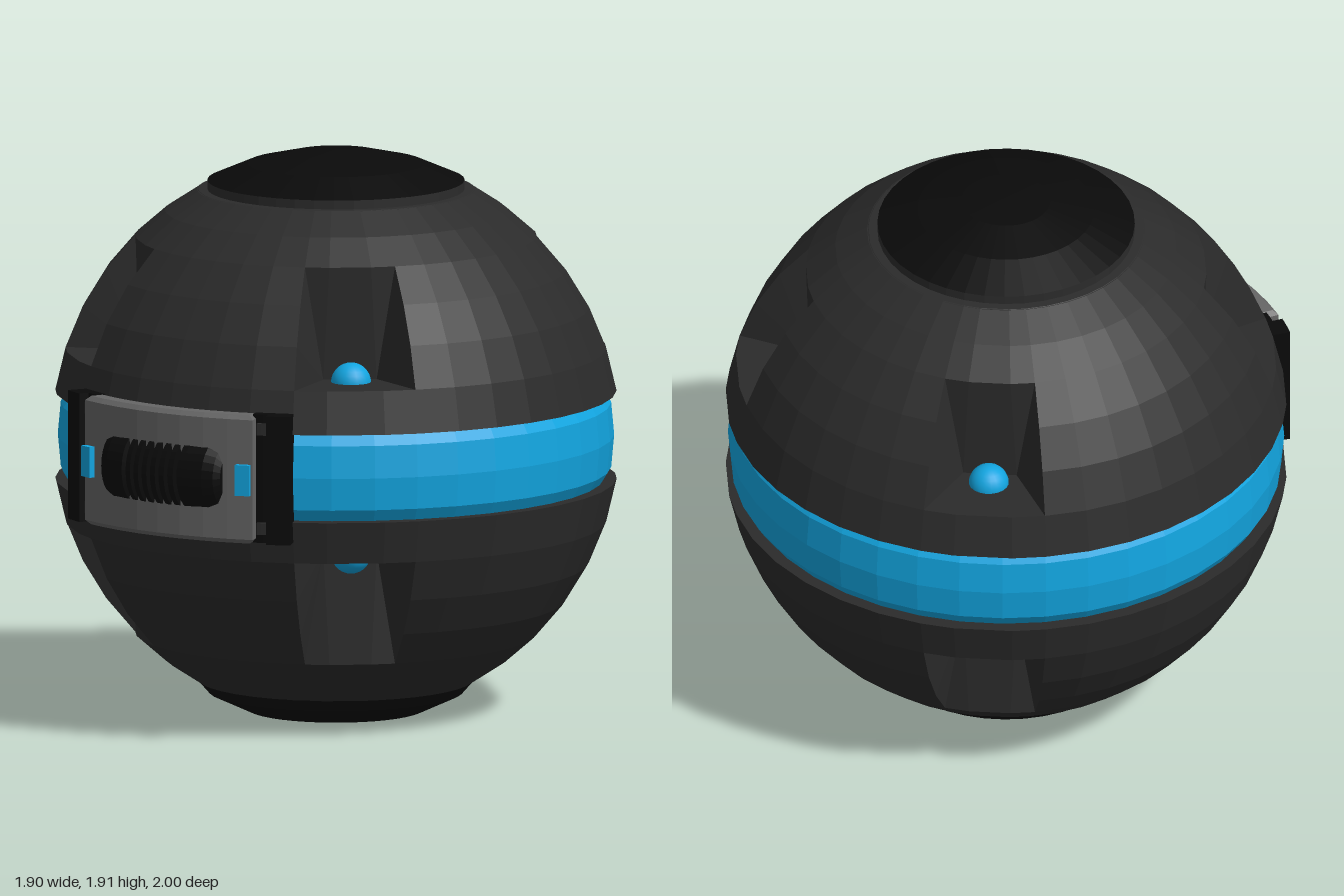
import * as THREE from 'three';

const mat = (color, flatShading = true) => new THREE.MeshStandardMaterial({ color, flatShading });
const SHELL = mat(0x2b2b2b), BLACK = mat(0x0a0a0a), BLUE = mat(0x12a5e0), GREY = mat(0x666666);
const BALL = mat(0x12a5e0, false);
const R = 0.96, MID = 0.94, RAD = Math.PI / 180;
const POCKETS = [41, 139, 221, 319];

// Column angles: the pocket borders fall on grid lines
const quarter = [0, 9.33, 18.67, 28, 35, 47, 54, 63, 72, 81];
const half = [...quarter, 90, ...quarter.slice(1).reverse().map(a => 180 - a)];
const COLS = [...half, ...half.map(a => a + 180), 360];
const ROWS = [9, 17.9, 27, 36, 45.1, 53, 61];

function add(group, name, geometry, material) {
  const mesh = new THREE.Mesh(geometry, material);
  mesh.name = name;
  group.add(mesh);
  return mesh;
}

const polar = (r, az, y) => [r * Math.sin(az * RAD), y, r * Math.cos(az * RAD)];
const onSphere = (az, el) => polar(R * Math.cos(el * RAD), az, R * Math.sin(el * RAD));

// Half shell with four recessed pockets; s = 1 upper, s = -1 lower
function shellGeometry(s) {
  const pos = [];
  const tri = (a, b, c) => {
    for (const p of s > 0 ? [a, b, c] : [a, c, b]) pos.push(p[0], p[1] * s, p[2]);
  };
  const quad = (a, b, c, d) => { tri(a, b, c); tri(a, c, d); };

  for (let i = 0; i < COLS.length - 1; i++) {
    const a = COLS[i], b = COLS[i + 1], mid = (a + b) / 2;
    const inPocket = POCKETS.some(c => Math.abs(mid - c) < 13);
    // Lip beside the belt
    const y = R * Math.sin(ROWS[0] * RAD);
    quad(polar(0.87, a, y), polar(0.87, b, y), onSphere(b, ROWS[0]), onSphere(a, ROWS[0]));
    for (let j = 0; j < ROWS.length - 1; j++) {
      if (inPocket && j >= 1 && j <= 3) continue;
      const e = ROWS[j], f = ROWS[j + 1];
      quad(onSphere(a, e), onSphere(b, e), onSphere(b, f), onSphere(a, f));
    }
  }

  for (const c of POCKETS) {
    const rim = ROWS.slice(1, 5);
    const L = rim.map(e => onSphere(c - 13, e)), T = rim.map(e => onSphere(c + 13, e));
    const p1 = onSphere(c - 6, rim[3]), p2 = onSphere(c + 6, rim[3]);
    const b1 = onSphere(c - 6, rim[0]), b2 = onSphere(c + 6, rim[0]);
    const q1 = polar(0.666, c - 7.8, L[0][1]), q2 = polar(0.666, c + 7.8, L[0][1]);
    quad(q1, q2, p2, p1); // back panel
    for (let i = 0; i < 3; i++) { // side walls
      tri(L[i], q1, L[i + 1]);
      tri(T[i], T[i + 1], q2);
    }
    tri(L[3], q1, p1);
    tri(T[3], p2, q2);
    tri(L[0], b1, q1); // ledge
    quad(b1, b2, q2, q1);
    tri(b2, T[0], q2);
  }
  const g = new THREE.BufferGeometry();
  g.setAttribute('position', new THREE.Float32BufferAttribute(pos, 3));
  g.computeVertexNormals();
  return g;
}

const lathe = (pts, n = 40) => new THREE.LatheGeometry(pts.map(p => new THREE.Vector2(...p)), n);

// Curved block wrapped around the body's vertical axis
function arcBlock(r0, r1, a0, a1, y0, y1, bevel = 0) {
  const n = 8, pts = [];
  const at = (r, t) => {
    const a = (a0 + (a1 - a0) * t) * RAD;
    return new THREE.Vector2(r * Math.sin(a), -r * Math.cos(a));
  };
  for (let i = 0; i <= n; i++) pts.push(at(r1, i / n));
  for (let i = n; i >= 0; i--) pts.push(at(r0, i / n));
  const g = new THREE.ExtrudeGeometry(new THREE.Shape(pts), {
    depth: y1 - y0 - 2 * bevel, bevelEnabled: bevel > 0,
    bevelSize: bevel, bevelThickness: bevel, bevelOffset: -bevel, bevelSegments: 1,
  });
  return g.rotateX(-Math.PI / 2).translate(0, y0 + bevel, 0);
}

// Ribbed grip: a lathe laid along x, flattened and bent with the plate
function gripGeometry() {
  const pts = [[0, -0.25], [0.075, -0.25], [0.102, -0.235], [0.115, -0.2], [0.115, -0.125]];
  for (let i = 0; i < 7; i++) {
    const x = -0.12 + i * 0.036;
    pts.push([0.088, x], [0.088, x + 0.012], [0.115, x + 0.014], [0.115, x + 0.034]);
  }
  pts.push([0.115, 0.2], [0.102, 0.235], [0.075, 0.25], [0, 0.25]);
  const g = lathe(pts, 24).rotateZ(-Math.PI / 2).scale(1, 1, 0.66);
  const p = g.attributes.position;
  for (let i = 0; i < p.count; i++) p.setZ(i, p.getZ(i) - 0.6 * p.getX(i) ** 2);
  g.computeVertexNormals();
  return g;
}

export function createModel() {
  const model = new THREE.Group();
  model.name = 'sphereDevice';
  const body = new THREE.Group();
  body.name = 'body';
  body.position.z = -0.05;
  model.add(body);

  // Shells and pocket balls
  for (const s of [1, -1]) {
    const tag = s > 0 ? 'upper' : 'lower';
    add(body, tag + 'Shell', shellGeometry(s), SHELL).position.y = MID;
    for (const c of POCKETS) {
      const ball = add(body, tag + 'PocketBall', new THREE.SphereGeometry(0.068, 20, 14), BALL);
      ball.position.set(...polar(0.71, c, MID + s * 0.293));
    }
  }

  // Belt, collar and end caps
  add(body, 'belt', lathe([[0.86, 0.79], [0.905, 0.79], [0.93, 0.83], [0.94, 0.94],
    [0.93, 1.05], [0.905, 1.09], [0.86, 1.09]]), BLUE);
  add(body, 'topCollar', lathe([[0.47, 1.778], [0.435, 1.78], [0.435, 1.81]]), SHELL);
  add(body, 'topCap', lathe([[0.435, 1.81], [0.3, 1.868], [0.15, 1.903], [0, 1.915]]), BLACK);
  add(body, 'bottomCap', lathe([[0, 0], [0.3, 0], [0.43, 0.06], [0.467, 0.102]]), BLACK);

  // Front latch
  const latch = new THREE.Group();
  latch.name = 'latch';
  body.add(latch);
  add(latch, 'latchPlate', arcBlock(0.93, 1.005, -20.6, 20.6, 0.72, 1.16, 0.015), GREY);
  for (const s of [-1, 1]) {
    const span = (a, b) => (s > 0 ? [a, b] : [-b, -a]);
    add(latch, 'clampBase', arcBlock(0.92, 0.965, ...span(20, 28), 0.72, 1.16), BLACK);
    add(latch, 'clampJaw', arcBlock(0.92, 1.0, ...span(23.2, 28), 0.72, 1.16), BLACK);
    for (const y of [0.77, 1.11])
      add(latch, 'clampTab', arcBlock(0.95, 0.98, ...span(21, 23.2), y - 0.02, y + 0.02), SHELL);
    const button = add(latch, 'sideButton', new THREE.BoxGeometry(0.05, 0.105, 0.05), BLUE);
    button.position.set(...polar(1.0, s * 18.8, MID));
    button.rotation.y = s * 18.8 * RAD;
  }
  add(latch, 'grip', gripGeometry(), BLACK).position.set(0, MID, 0.974);

  return model;
}
